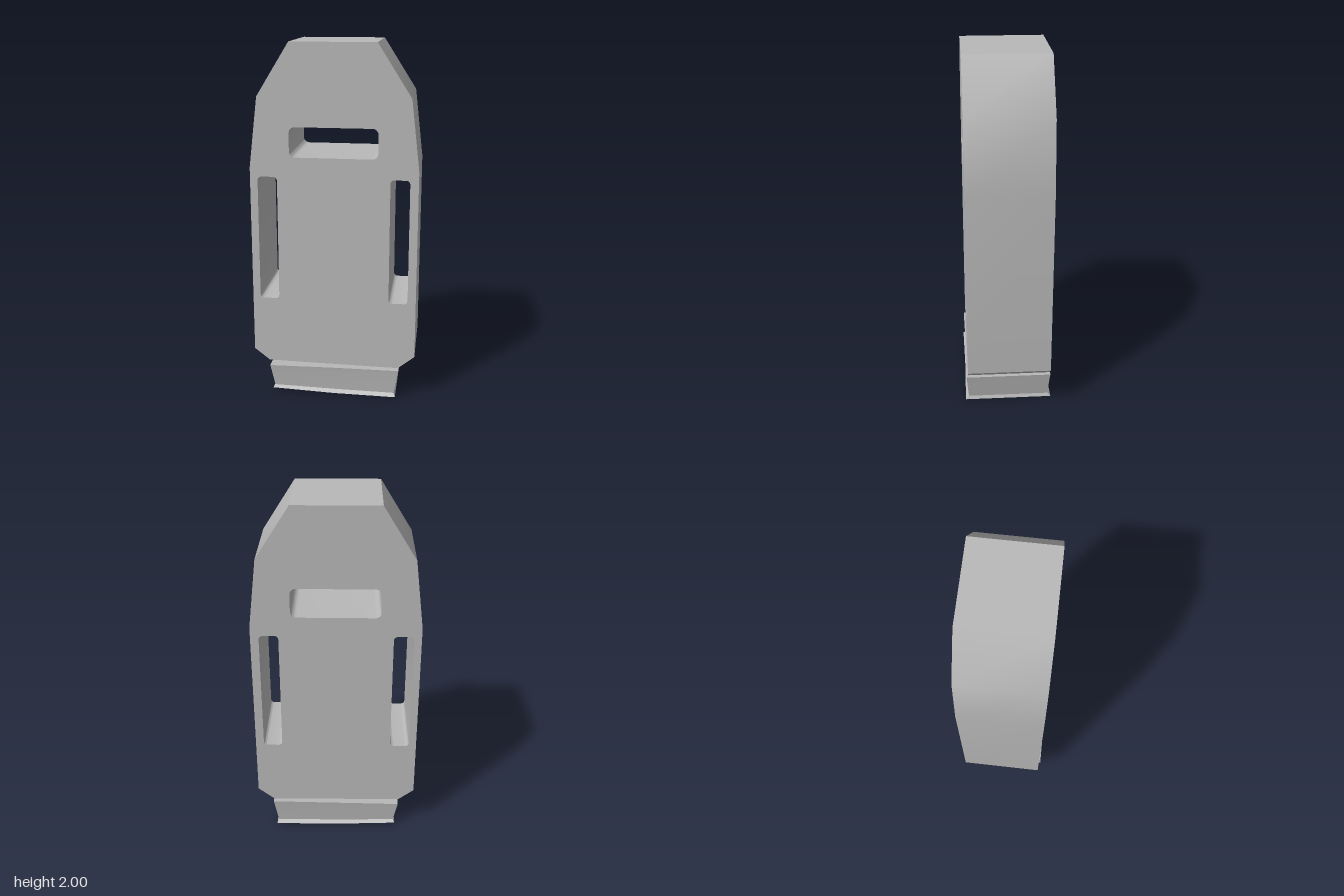
import * as THREE from 'three';
import { toCreasedNormals } from 'three/addons/utils/BufferGeometryUtils.js';

const grey = new THREE.MeshStandardMaterial({ color: 0xb8b8b8, side: THREE.DoubleSide });
grey.name = 'plain grey';

// Rounded rectangular hole
function roundedHole(x0, x1, y0, y1, r) {
  const p = new THREE.Path();
  p.moveTo(x0 + r, y0);
  p.lineTo(x1 - r, y0);
  p.absarc(x1 - r, y0 + r, r, -Math.PI / 2, 0);
  p.lineTo(x1, y1 - r);
  p.absarc(x1 - r, y1 - r, r, 0, Math.PI / 2);
  p.lineTo(x0 + r, y1);
  p.absarc(x0 + r, y1 - r, r, Math.PI / 2, Math.PI);
  p.lineTo(x0, y0 + r);
  p.absarc(x0 + r, y0 + r, r, Math.PI, Math.PI * 1.5);
  return p;
}

// Thick tapered panel with a window and two side slots
function makeBody() {
  const outline = [
    [-0.375, 0.187], [0.368, 0.181], [0.46, 0.255], [0.46, 1.325], [0.414, 1.713],
    [0.23, 2], [-0.237, 2], [-0.415, 1.713], [-0.462, 1.325], [-0.462, 0.255],
  ];
  const shape = new THREE.Shape(outline.map(([x, y]) => new THREE.Vector2(x, y)));
  shape.holes.push(
    roundedHole(-0.243, 0.241, 1.387, 1.552, 0.033),
    roundedHole(-0.42, -0.312, 0.572, 1.277, 0.022),
    roundedHole(0.308, 0.414, 0.572, 1.277, 0.022),
  );
  const geo = new THREE.ExtrudeGeometry(shape, { depth: 0.466, bevelEnabled: false, curveSegments: 6 });
  geo.translate(0, 0, -0.233);
  return toCreasedNormals(geo, 0.5);
}

// Tapered foot: six-point rings from the top lip down to a flared, slightly tilted sole
function makeFoot() {
  // [y at left of the front view, y at right, half width, half depth]
  const rings = [
    [0.155, 0.165, 0.34, 0.215],
    [0.157, 0.167, 0.372, 0.243],
    [0.135, 0.145, 0.368, 0.24],
    [0.03, 0.022, 0.347, 0.23],
    [0.018, 0.004, 0.355, 0.248],
    [0.016, 0, 0.35, 0.236],
  ];
  const pos = [];
  const index = [];
  const n = 6;
  for (const [yl, yr, hx, hz] of rings) {
    const yMid = yl < 0.1 ? yr : (yl + yr) / 2;
    pos.push(-hx, yl, hz, 0, yMid, hz - 0.004, hx, yr, hz);
    pos.push(hx, yr, -hz, 0, yMid, -hz, -hx, yl, -hz);
  }
  for (let r = 0; r < rings.length - 1; r++) {
    for (let i = 0; i < n; i++) {
      const a = r * n + i, b = r * n + (i + 1) % n;
      index.push(a, a + n, b, b, a + n, b + n);
    }
  }
  // Top and sole caps, each two quads
  const s = (rings.length - 1) * n;
  for (const [a, b, c, d] of [[0, 1, 4, 5], [1, 2, 3, 4]]) {
    index.push(a, b, c, a, c, d);
    index.push(s + a, s + c, s + b, s + a, s + d, s + c);
  }
  const geo = new THREE.BufferGeometry();
  geo.setAttribute('position', new THREE.Float32BufferAttribute(pos, 3));
  geo.setIndex(index);
  return toCreasedNormals(geo, 0.5);
}

export function createModel() {
  const model = new THREE.Group();
  model.name = 'slottedPanel';
  const add = (name, geo) => {
    const mesh = new THREE.Mesh(geo, grey);
    mesh.name = name;
    model.add(mesh);
  };
  add('body', makeBody());
  add('foot', makeFoot());
  return model;
}
